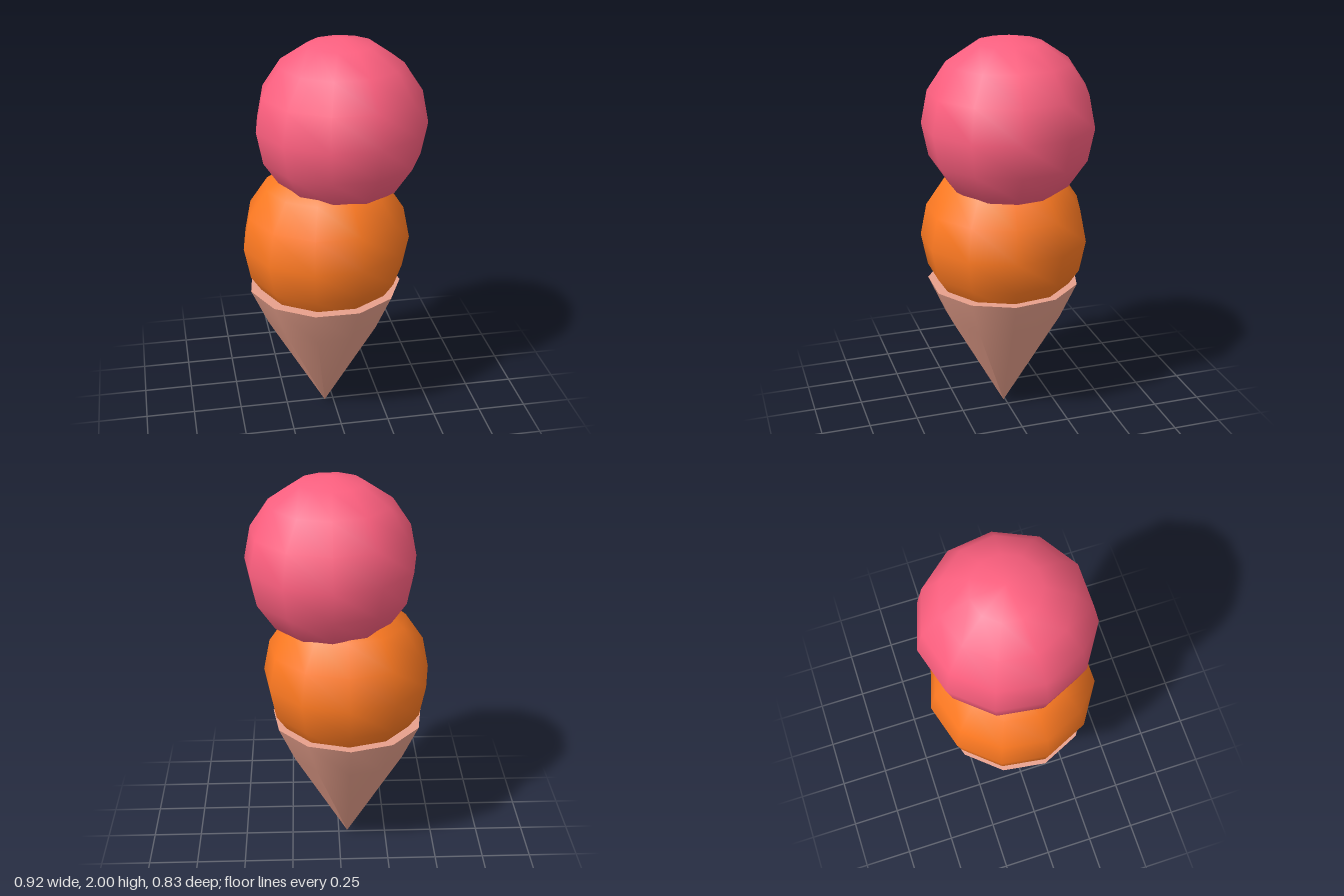
import * as THREE from 'three';

const SIDES = 11;
const CONE_X = -0.046, CONE_Z = 0.01;
const RIM_Y = 0.73, RIM_R = 0.388;

function addMesh(parent, name, geometry, material, x, y, z) {
  const mesh = new THREE.Mesh(geometry, material);
  mesh.name = name;
  mesh.position.set(x, y, z);
  parent.add(mesh);
  return mesh;
}

export function createModel() {
  const group = new THREE.Group();
  group.name = 'iceCreamCone';

  const wafer = new THREE.MeshStandardMaterial({ color: 0xe8a08c, side: THREE.DoubleSide });
  const orange = new THREE.MeshStandardMaterial({ color: 0xff7a22 });
  const pink = new THREE.MeshStandardMaterial({ color: 0xff6080 });

  // Wafer cone: slightly bulged profile with a corner at the back
  const profile = [[0, 0], [0.303, 0.54], [RIM_R, RIM_Y]].map(([r, y]) => new THREE.Vector2(r, y));
  const cone = new THREE.LatheGeometry(profile, SIDES, Math.PI);
  addMesh(group, 'cone', cone, wafer, CONE_X, 0, CONE_Z);

  // Flat rim between the cone edge and the lower scoop
  const rim = new THREE.RingGeometry(0.32, RIM_R, SIDES, 1, Math.PI / 2);
  rim.rotateX(-Math.PI / 2);
  addMesh(group, 'coneRim', rim, wafer, CONE_X, RIM_Y, CONE_Z);

  // Two stacked scoops, offset to either side
  const scoop = new THREE.SphereGeometry(0.424, SIDES, 8, -Math.PI / 2);
  addMesh(group, 'lowerScoop', scoop, orange, -0.04, 0.97, 0.007);
  addMesh(group, 'upperScoop', scoop, pink, 0.038, 1.576, 0.007);

  return group;
}
